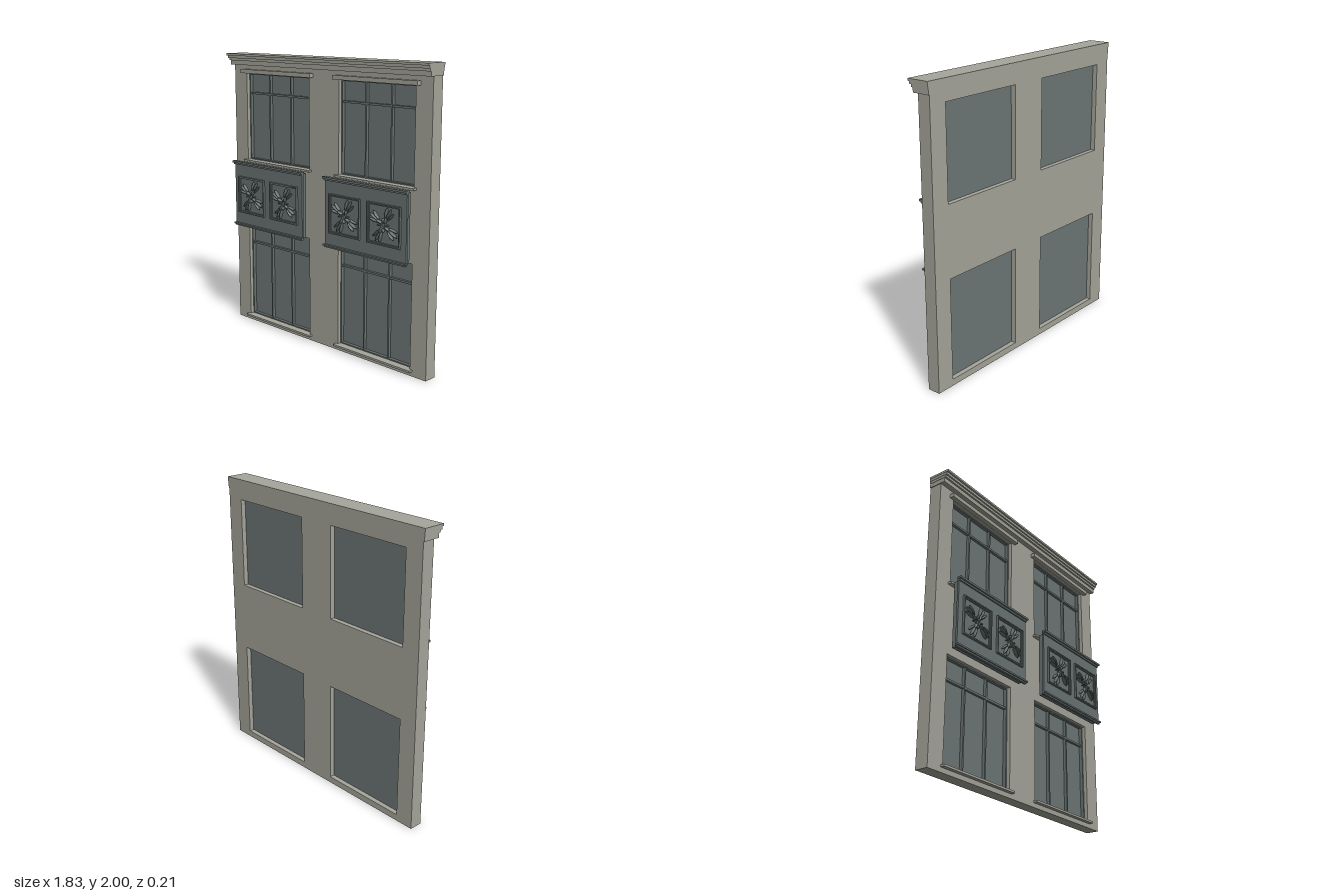
import * as THREE from 'three';

const stone = new THREE.MeshStandardMaterial({ color: 0xa6a69c });
stone.name = 'warm grey stone';
const metal = new THREE.MeshStandardMaterial({ color: 0x6a7573 });
metal.name = 'grey green metal';
const pane = new THREE.MeshStandardMaterial({ color: 0x6e7877 });
pane.name = 'grey glass';

const CENTRES = [-0.458, 0.453];   // window bay centres
const HALF = 0.318;                // half width of an opening
const STOREYS = [                  // opening bottom, top and transom height
  { y0: 0.045, y1: 0.748, bar: 0.605 },
  { y0: 1.235, y1: 1.86, bar: 1.718 },
];
const BACK = -0.106, FACE = -0.016;

// Box given by its extents on each axis
function block(parent, name, mat, x0, x1, y0, y1, z0, z1) {
  const mesh = new THREE.Mesh(new THREE.BoxGeometry(x1 - x0, y1 - y0, z1 - z0), mat);
  mesh.position.set((x0 + x1) / 2, (y0 + y1) / 2, (z0 + z1) / 2);
  mesh.name = name;
  parent.add(mesh);
  return mesh;
}

function rect(path, x0, x1, y0, y1) {
  path.moveTo(x0, y0);
  path.lineTo(x1, y0);
  path.lineTo(x1, y1);
  path.lineTo(x0, y1);
  path.closePath();
  return path;
}

// Rectangular border with a hollow middle
function border(parent, name, mat, x0, x1, y0, y1, w, z0, z1) {
  const shape = rect(new THREE.Shape(), x0, x1, y0, y1);
  shape.holes.push(rect(new THREE.Path(), x0 + w, x1 - w, y0 + w, y1 - w));
  const geo = new THREE.ExtrudeGeometry(shape, { depth: z1 - z0, bevelEnabled: false });
  const mesh = new THREE.Mesh(geo, mat);
  mesh.position.z = z0;
  mesh.name = name;
  parent.add(mesh);
}

// Wall pierced by four openings
function makeWall() {
  const shape = rect(new THREE.Shape(), -0.905, 0.901, 0, 1.92);
  for (const cx of CENTRES)
    for (const s of STOREYS)
      shape.holes.push(rect(new THREE.Path(), cx - HALF, cx + HALF, s.y0, s.y1));
  const geo = new THREE.ExtrudeGeometry(shape, { depth: FACE - BACK, bevelEnabled: false });
  const wall = new THREE.Mesh(geo, stone);
  wall.position.z = BACK;
  wall.name = 'wall';
  return wall;
}

// Stepped cornice, widening upwards
function makeCornice() {
  const g = new THREE.Group();
  g.name = 'cornice';
  const steps = [[1.92, 1.95, 0.018, 0.909], [1.95, 1.967, 0.03, 0.911],
    [1.967, 1.985, 0.04, 0.913], [1.985, 2, 0.052, 0.915]];
  for (const [y0, y1, z, hw] of steps)
    block(g, 'corniceStep', stone, -hw - 0.001, hw - 0.001, y0, y1, BACK, z);
  return g;
}

// Glazing with border, two mullions and a transom
function makeWindow(cx, s) {
  const g = new THREE.Group();
  g.name = 'window';
  const x0 = cx - HALF, x1 = cx + HALF;
  block(g, 'glass', pane, x0, x1, s.y0, s.y1, -0.072, -0.066);
  border(g, 'windowFrame', metal, x0, x1, s.y0, s.y1, 0.008, -0.066, -0.042);
  for (const dx of [-0.107, 0.107])
    block(g, 'mullion', metal, cx + dx - 0.006, cx + dx + 0.006, s.y0 + 0.008, s.y1 - 0.008, -0.066, -0.045);
  block(g, 'transom', metal, x0 + 0.008, x1 - 0.008, s.bar - 0.007, s.bar + 0.007, -0.066, -0.047);
  block(g, 'sill', stone, cx - 0.337, cx + 0.337, s.y0 - 0.014, s.y0, FACE, 0.013);
  return g;
}

// Pinwheel of four three-leaf sprays around a small boss
function makeRosette() {
  const g = new THREE.Group();
  g.name = 'leafRosette';
  const leafGeo = new THREE.SphereGeometry(1, 8, 6);
  const boss = new THREE.Mesh(new THREE.TorusGeometry(0.018, 0.006, 6, 12), metal);
  boss.name = 'boss';
  boss.position.z = 0.005;
  g.add(boss);
  for (let i = 0; i < 4; i++) {
    const arm = new THREE.Group();
    arm.name = 'leafSpray';
    arm.rotation.z = THREE.MathUtils.degToRad(60 + 90 * i);
    // each leaf: centre x, centre y, angle, half length, half width
    const leaves = [[0.088, 0, 0, 0.04, 0.007], [0.08, 0.021, 0.28, 0.037, 0.007],
      [0.08, -0.021, -0.28, 0.037, 0.007], [0.038, 0, 0.12, 0.024, 0.008],
      [0.028, 0.017, 0.8, 0.013, 0.006]];
    for (const [x, y, a, len, w] of leaves) {
      const leaf = new THREE.Mesh(leafGeo, metal);
      leaf.name = 'leaf';
      leaf.position.set(x, y, 0.006);
      leaf.rotation.z = a;
      leaf.scale.set(len, w, 0.016);
      arm.add(leaf);
    }
    g.add(arm);
  }
  return g;
}

// Spandrel panel standing forward between the storeys
function makeSpandrel(cx) {
  const g = new THREE.Group();
  g.name = 'spandrelPanel';
  block(g, 'panelBack', metal, cx - 0.335, cx + 0.335, 0.765, 1.218, 0.035, 0.07);
  block(g, 'panelFace', metal, cx - 0.348, cx + 0.348, 0.765, 1.218, 0.07, 0.084);
  block(g, 'topTrim', metal, cx - 0.355, cx + 0.355, 1.221, 1.235, 0.074, 0.105);
  block(g, 'topTrimLower', metal, cx - 0.351, cx + 0.351, 1.209, 1.221, 0.074, 0.094);
  block(g, 'bottomTrim', metal, cx - 0.355, cx + 0.355, 0.765, 0.776, 0.074, 0.1);
  block(g, 'bottomTrimLower', metal, cx - 0.349, cx + 0.349, 0.755, 0.765, 0.074, 0.092);
  for (const dx of [-0.168, 0.168]) {
    const x = cx + dx;
    border(g, 'panelMoulding', metal, x - 0.137, x + 0.137, 0.858, 1.125, 0.008, 0.084, 0.099);
    border(g, 'innerMoulding', metal, x - 0.129, x + 0.129, 0.866, 1.117, 0.007, 0.084, 0.092);
    const rosette = makeRosette();
    rosette.position.set(x, 0.99, 0.086);
    g.add(rosette);
  }
  return g;
}

export function createModel() {
  const model = new THREE.Group();
  model.name = 'facade';
  model.add(makeWall(), makeCornice());
  for (const cx of CENTRES) {
    for (const s of STOREYS) model.add(makeWindow(cx, s));
    model.add(makeSpandrel(cx));
    block(model, 'lintel', stone, cx - 0.353, cx + 0.353, 1.862, 1.89, FACE, 0.015);
  }
  return model;
}
